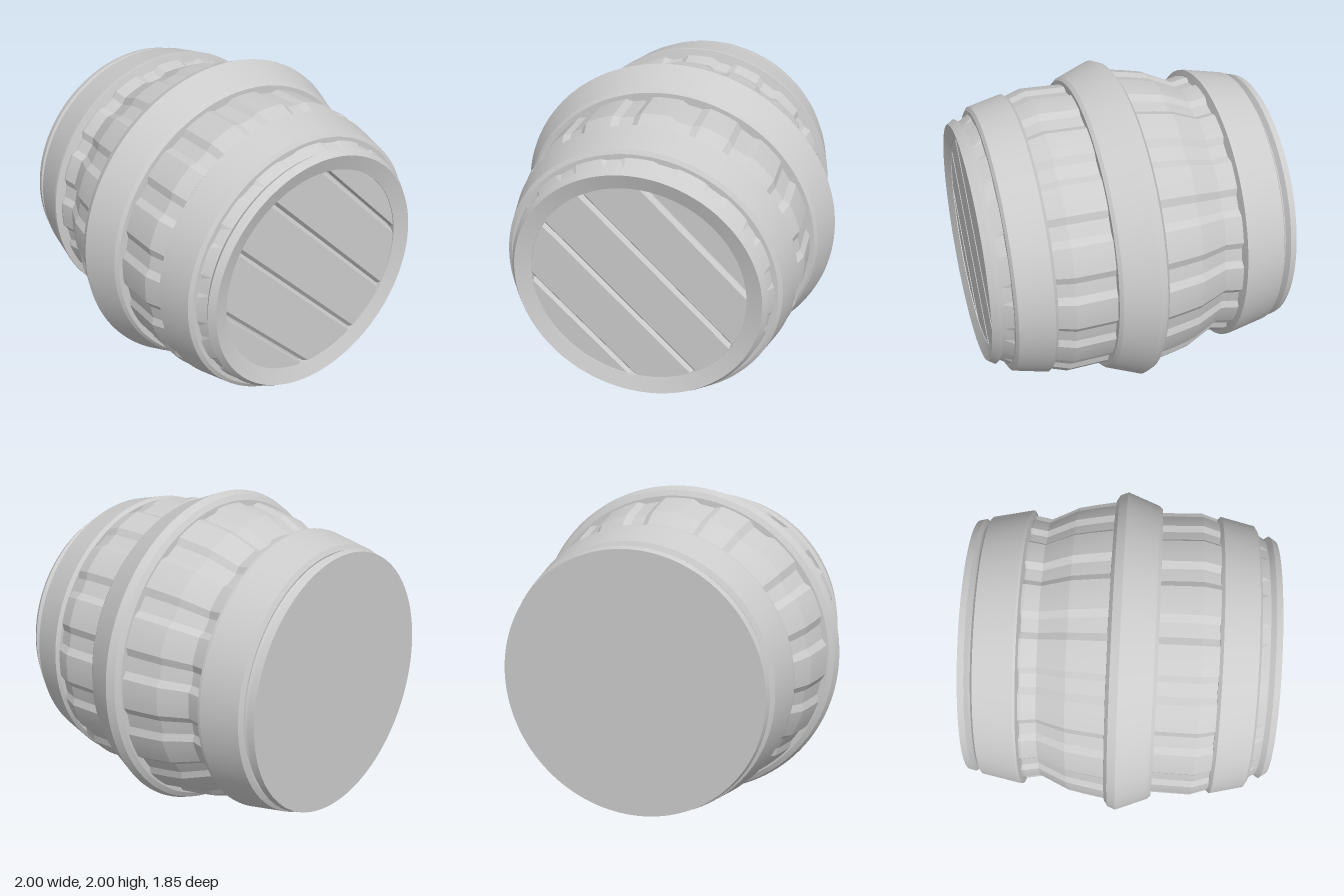
import * as THREE from 'three';
import { toCreasedNormals } from 'three/addons/utils/BufferGeometryUtils.js';

const STAVES = 16;
const SEGMENTS = STAVES * 8;

// Turns a [z, radius] profile (back to front) around the z axis.
// ripple(z) gives the depth of the grooves between the staves at z.
function turned(profile, ripple = () => 0) {
  const points = profile.map(([z, r]) => new THREE.Vector2(r, z));
  const geometry = new THREE.LatheGeometry(points, SEGMENTS);
  geometry.rotateX(Math.PI / 2);
  const pos = geometry.attributes.position;
  const rows = profile.length;
  for (let i = 0; i < pos.count; i++) {
    const step = Math.floor(i / rows) % 8; // 0 is the middle of a stave
    const depth = step >= 3 && step <= 5 ? ripple(pos.getZ(i)) : 0;
    const r = Math.hypot(pos.getX(i), pos.getY(i));
    if (depth && r > 0) {
      const k = (r - depth) / r;
      pos.setXY(i, pos.getX(i) * k, pos.getY(i) * k);
    }
  }
  return toCreasedNormals(geometry, 0.15);
}

// One lid board between two parallel lines, cut to a circle of radius R.
function board(u0, u1, R, bevel, depth) {
  const a = u0 + bevel, b = u1 - bevel, n = 24;
  const shape = new THREE.Shape();
  const half = (u) => Math.sqrt(Math.max(R * R - u * u, 0));
  for (let i = 0; i <= n; i++) {
    const u = a + ((b - a) * i) / n;
    if (i === 0) shape.moveTo(u, -half(u));
    else shape.lineTo(u, -half(u));
  }
  for (let i = n; i >= 0; i--) {
    const u = a + ((b - a) * i) / n;
    shape.lineTo(u, half(u));
  }
  shape.closePath();
  const geometry = new THREE.ExtrudeGeometry(shape, {
    depth, bevelEnabled: true, bevelSize: bevel, bevelThickness: bevel, bevelSegments: 1,
  });
  geometry.rotateZ(Math.PI / 4);
  return geometry;
}

export function createModel() {
  const group = new THREE.Group();
  const gray = new THREE.MeshStandardMaterial({ color: 0xcccccc });
  gray.name = 'plain gray';

  const add = (name, geometry) => {
    const mesh = new THREE.Mesh(geometry, gray);
    mesh.name = name;
    group.add(mesh);
    return mesh;
  };

  // Body: flat back, grooved staves, front rim and the recess for the lid
  const body = [
    [-0.925, 0], [-0.925, 0.787], [-0.885, 0.797], [-0.865, 0.765], [-0.83, 0.785],
    [-0.7, 0.8], [-0.56, 0.828], [-0.47, 0.812], [-0.3, 0.892], [-0.2, 0.913],
    [-0.05, 0.94], [0.2, 0.88], [0.46, 0.888], [0.57, 0.852], [0.7, 0.81],
    [0.79, 0.785], [0.855, 0.742], [0.885, 0.762], [0.925, 0.735], [0.895, 0.64],
    [0.85, 0.64], [0.85, 0],
  ];
  const ripple = (z) => (z < -0.8 || z > 0.82 ? 0 : z > 0.75 ? 0.012 : 0.022);
  add('barrelBody', turned(body, ripple));

  // Hoops, each with its ends sunk into the staves
  const hoops = {
    backHoop: [[-0.845, 0.75], [-0.85, 0.785], [-0.835, 0.814], [-0.6, 0.862], [-0.585, 0.862], [-0.565, 0.79]],
    middleHoop: [[-0.075, 0.88], [-0.07, 0.948], [-0.05, 0.98], [0, 1], [0.195, 0.924], [0.215, 0.906], [0.215, 0.83]],
    frontHoop: [[0.56, 0.81], [0.56, 0.853], [0.58, 0.872], [0.785, 0.824], [0.8, 0.8], [0.8, 0.74]],
  };
  for (const [name, profile] of Object.entries(hoops)) add(name, turned(profile));

  // Diagonal lid boards with bevelled joints
  const lid = new THREE.Group();
  lid.name = 'frontLid';
  const joints = [-0.66, -0.48, -0.15, 0.17, 0.49, 0.66];
  for (let i = 0; i < joints.length - 1; i++) {
    const mesh = new THREE.Mesh(board(joints[i], joints[i + 1], 0.665, 0.02, 0.03), gray);
    mesh.name = 'lidBoard';
    mesh.position.z = 0.84;
    lid.add(mesh);
  }
  group.add(lid);

  // Stand the barrel on the ground
  group.children.forEach((part) => { part.position.y = 1; });
  return group;
}
